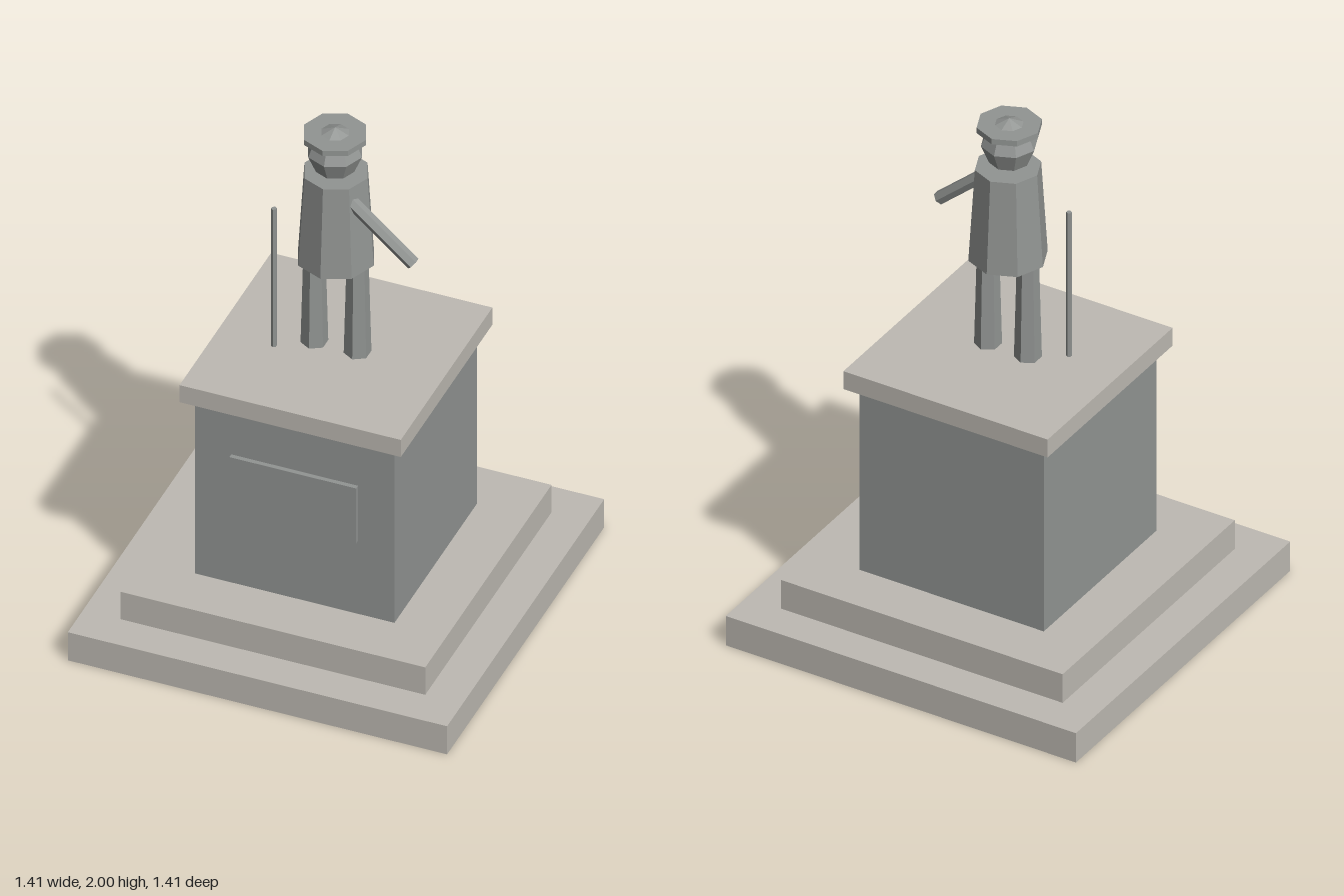
import * as THREE from 'three';

export function createModel() {
  const model = new THREE.Group();
  model.name = 'statueOnPedestal';

  const paleStone = new THREE.MeshStandardMaterial({ name: 'paleStone', color: 0xbebab3 });
  const greyStone = new THREE.MeshStandardMaterial({ name: 'greyStone', color: 0x929593 });
  paleStone.flatShading = greyStone.flatShading = true;

  const add = (name, geometry, material, x = 0, y = 0, z = 0) => {
    const mesh = new THREE.Mesh(geometry, material);
    mesh.name = name;
    mesh.position.set(x, y, z);
    model.add(mesh);
    return mesh;
  };

  // Square block of the given half width between two heights
  const block = (name, half, y0, y1, material) =>
    add(name, new THREE.BoxGeometry(half * 2, y1 - y0, half * 2), material, 0, (y0 + y1) / 2, 0);

  // Upright faceted column between two heights
  const column = (name, rTop, rBottom, y0, y1, sides, x = 0, z = 0) =>
    add(name, new THREE.CylinderGeometry(rTop, rBottom, y1 - y0, sides), greyStone, x, (y0 + y1) / 2, z);

  // Pedestal
  block('lowerStep', 0.703, 0, 0.12, paleStone);
  block('upperStep', 0.565, 0.12, 0.237, paleStone);
  block('pedestalBody', 0.37, 0.237, 0.985, greyStone);
  block('pedestalCap', 0.41, 0.985, 1.058, paleStone);
  add('plaque', new THREE.BoxGeometry(0.47, 0.235, 0.03), greyStone, 0, 0.667, 0.372);

  // Legs and coat
  for (const [name, side] of [['leftLeg', 1], ['rightLeg', -1]]) {
    column(name, 0.038, 0.048, 1.058, 1.46, 6, side * 0.08);
  }
  column('coat', 0.117, 0.14, 1.443, 1.81, 8);

  // Head with a flat cap brim
  add('head', new THREE.SphereGeometry(0.1, 8, 4), greyStone, 0, 1.9, 0.008);
  column('capBrim', 0.115, 0.115, 1.957, 1.979, 8, 0, 0.008);

  // Outstretched left arm
  const shoulder = new THREE.Vector3(0.07, 1.75, 0.058);
  const hand = new THREE.Vector3(0.311, 1.541, 0.058);
  const direction = hand.clone().sub(shoulder);
  const arm = add('leftArm', new THREE.CylinderGeometry(0.025, 0.025, direction.length(), 6), greyStone);
  arm.position.copy(shoulder).add(hand).multiplyScalar(0.5);
  arm.quaternion.setFromUnitVectors(new THREE.Vector3(0, 1, 0), direction.normalize());

  // Walking stick
  column('walkingStick', 0.01, 0.01, 1.058, 1.645, 6, -0.198, 0.077);

  return model;
}
